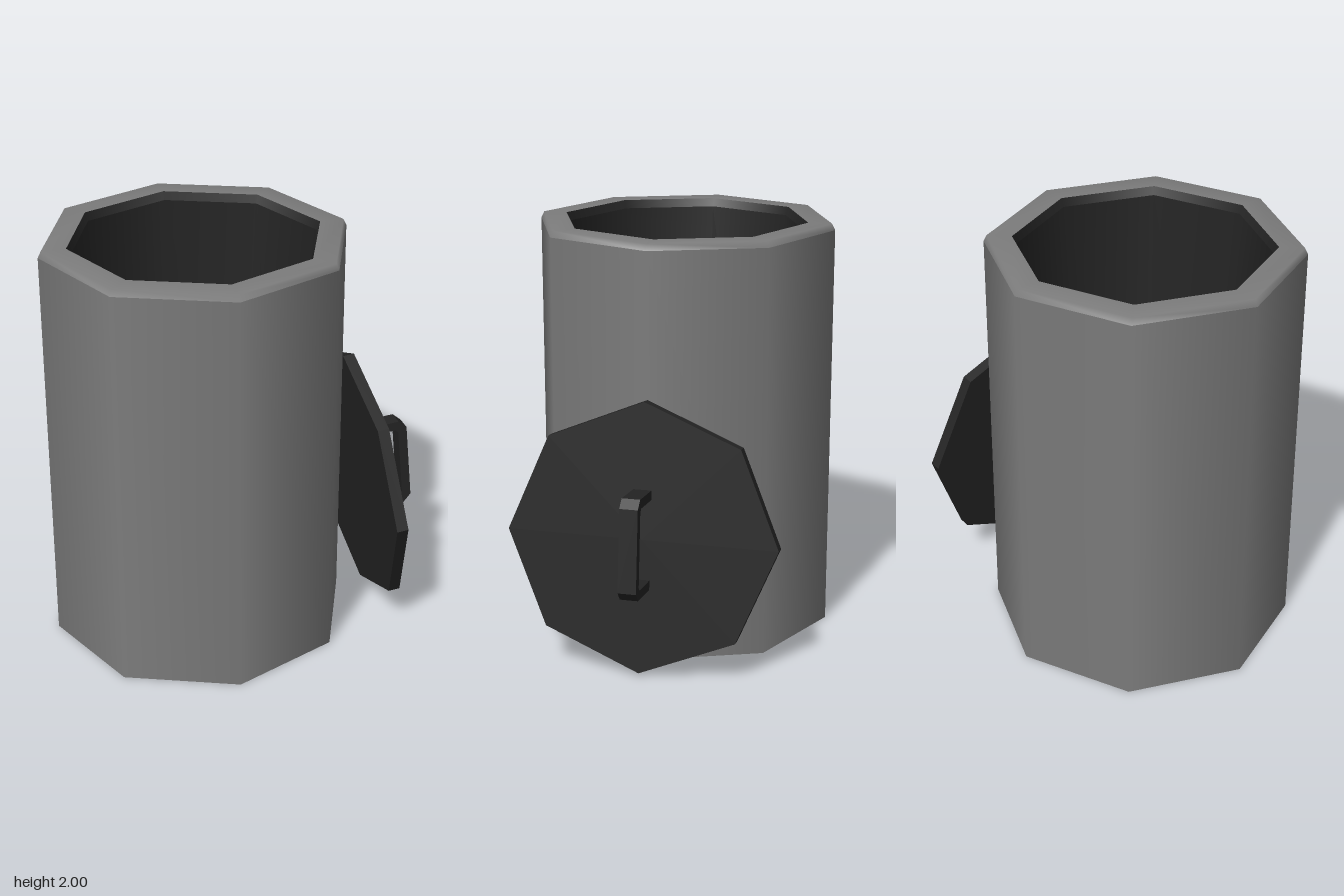
import * as THREE from 'three';

const SIDES = 8;

export function createModel() {
  const grey = new THREE.MeshStandardMaterial({ color: 0x7c7c7c });
  grey.name = 'grey';
  const dark = new THREE.MeshStandardMaterial({ color: 0x242424 });
  dark.name = 'dark';

  const model = new THREE.Group();
  model.name = 'binWithLid';

  const add = (parent, name, geometry, material) => {
    const mesh = new THREE.Mesh(geometry, material);
    mesh.name = name;
    parent.add(mesh);
    return mesh;
  };
  const lathe = (points) =>
    new THREE.LatheGeometry(points.map(([r, y]) => new THREE.Vector2(r, y)), SIDES);

  // Bin: an eight-sided body with a softened rim and a tapering dark inside
  const bin = new THREE.Group();
  bin.name = 'bin';
  bin.position.set(-0.16, 0, 0.16);
  model.add(bin);
  add(bin, 'outerWall', lathe([[0.73, 0], [0.73, 1.97]]), grey);
  add(bin, 'rim', lathe([[0.73, 1.97], [0.715, 2], [0.6, 2]]), grey);
  add(bin, 'innerLip', lathe([[0.6, 2], [0.585, 1.96]]), dark);
  add(bin, 'innerWall', lathe([[0.585, 1.96], [0.45, 0.13]]), dark);
  add(bin, 'innerFloor', new THREE.CircleGeometry(0.45, SIDES).rotateX(-Math.PI / 2), dark)
    .position.y = 0.13;
  add(bin, 'base', new THREE.CircleGeometry(0.73, SIDES).rotateX(Math.PI / 2), grey);

  // Lid: leans on the back left corner, its local +z facing away from the bin
  const lid = new THREE.Group();
  lid.name = 'lid';
  lid.position.set(0.42, 0.65, -0.43);
  lid.rotation.set(-0.1, Math.PI * 0.75, 0, 'YXZ');
  model.add(lid);
  const plate = new THREE.CylinderGeometry(0.642, 0.642, 0.056, SIDES)
    .rotateX(Math.PI / 2).toNonIndexed();
  plate.computeVertexNormals();
  add(lid, 'lidPlate', plate, dark);

  // Handle: a chamfered bracket, drawn as outward distance against height
  const profile = [
    [0, 0.235], [0.195, 0.235], [0.235, 0.195], [0.235, -0.195], [0.195, -0.235], [0, -0.235],
    [0, -0.19], [0.175, -0.19], [0.19, -0.175], [0.19, 0.175], [0.175, 0.19], [0, 0.19],
  ].map(([out, up]) => new THREE.Vector2(out, up));
  const handle = new THREE.ExtrudeGeometry(new THREE.Shape(profile), {
    depth: 0.086, bevelEnabled: false,
  }).translate(0, 0, -0.043).rotateY(-Math.PI / 2);
  add(lid, 'lidHandle', handle, dark).position.z = 0.025;

  return model;
}
